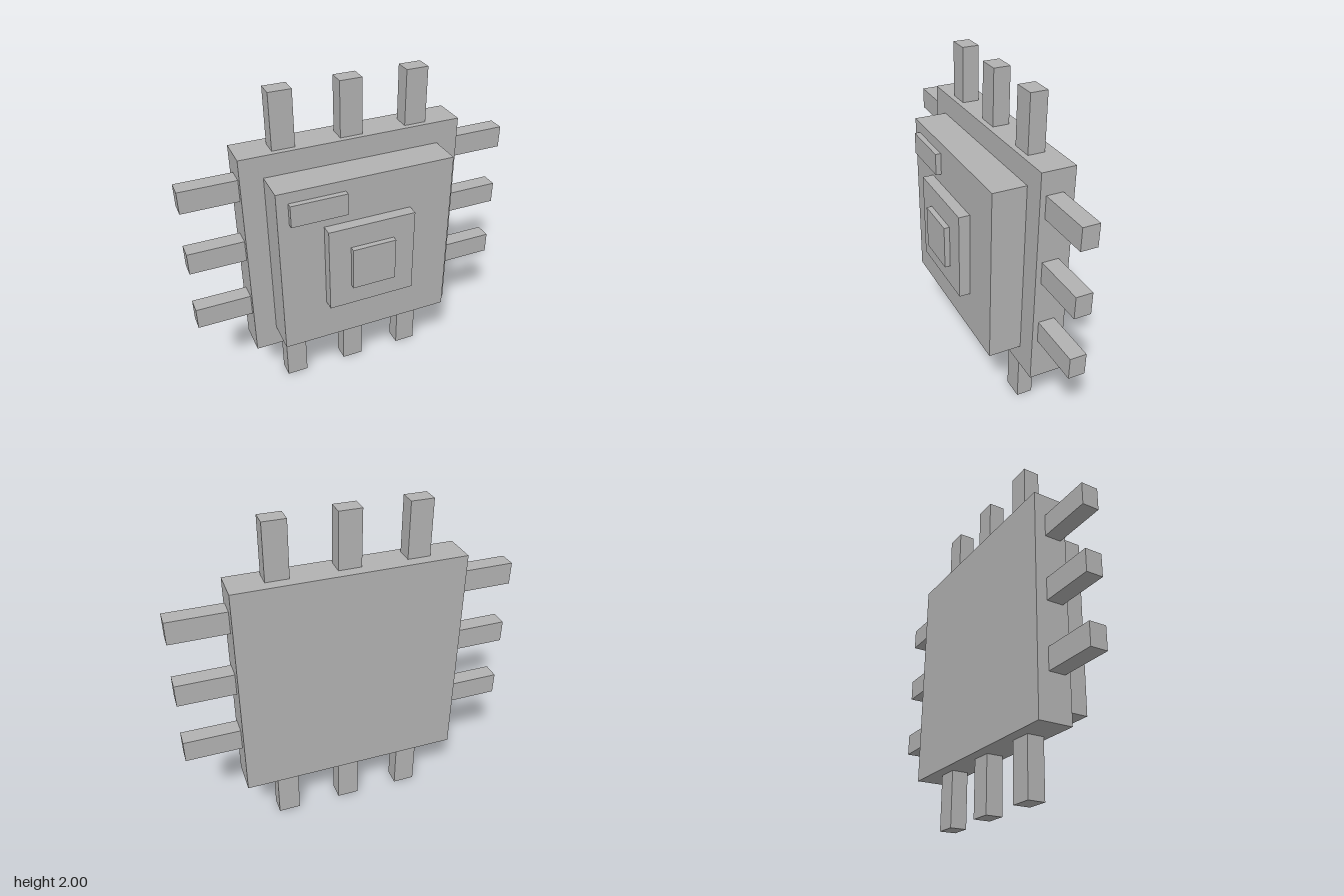
import * as THREE from 'three';

export function createModel() {
  const model = new THREE.Group();
  model.name = 'chip';

  const grey = new THREE.MeshStandardMaterial({ color: 0xb2b2b2 });
  grey.name = 'grey';

  // One modelling unit is 1/15
  const U = 1 / 15;

  // Box from its centre in x and y, its size, and its back and front z
  function block(name, x, y, w, h, back, front) {
    const mesh = new THREE.Mesh(new THREE.BoxGeometry(w * U, h * U, front - back), grey);
    mesh.name = name;
    mesh.position.set(x * U, y * U, (back + front) / 2);
    model.add(mesh);
  }

  // Stacked square layers, back to front
  block('base', 0, 15, 20, 20, -0.25, -0.05);
  block('lid', 0, 15, 16, 16, -0.05, 0.15);
  block('die', 0, 15, 8, 8, 0.15, 0.15 + U);
  block('core', 0, 15, 4, 4, 0.15 + U, 0.25);

  // Small marker plate in the upper corner of the lid
  block('marker', -4.5, 21, 5, 2, 0.15, 0.15 + U / 2);

  // Three pins on each edge; the side rows sit one unit above centre
  const pinBack = -0.25 + U, pinFront = -0.15 + U;
  for (const offset of [-6, 0, 6]) {
    for (const side of [-1, 1]) {
      block(side > 0 ? 'topPin' : 'bottomPin', offset, 15 + side * 12.5, 2, 5, pinBack, pinFront);
      block(side > 0 ? 'leftPin' : 'rightPin', side * 12.5, 16 + offset, 5, 2, pinBack, pinFront);
    }
  }

  return model;
}
